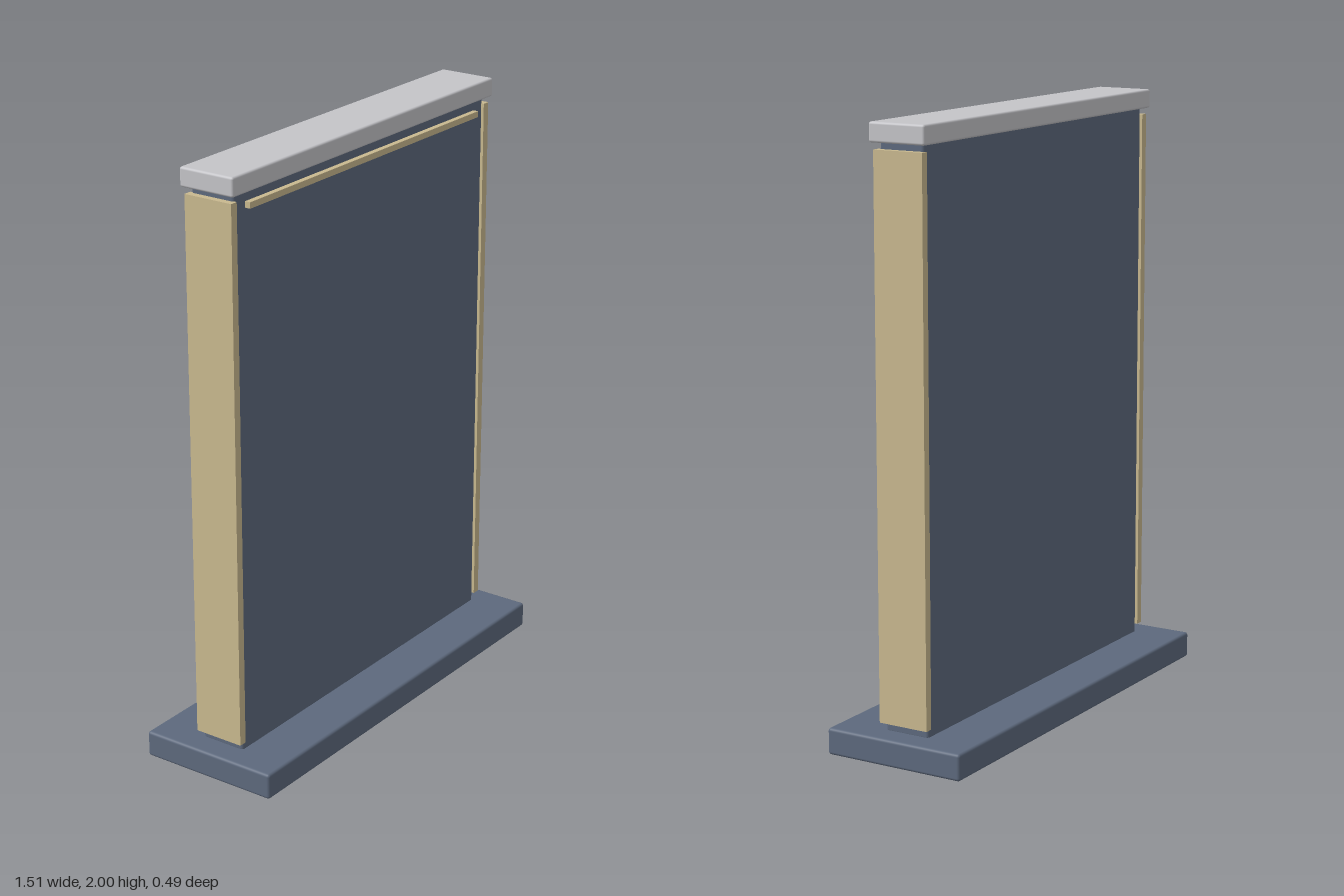
import * as THREE from 'three';
import { RoundedBoxGeometry } from 'three/addons/geometries/RoundedBoxGeometry.js';

export function createModel() {
  const group = new THREE.Group();
  const material = (name, color) => {
    const m = new THREE.MeshStandardMaterial({ color });
    m.name = name;
    return m;
  };
  const slate = material('slate blue', 0x5d697d);
  const silver = material('silver grey', 0xc4c4c8);
  const sand = material('sand gold', 0xc9b98f);

  // Box centred on x, resting at height y0; a radius rounds its edges
  const addBox = (name, mat, w, y0, y1, d, x = 0, z = 0, radius = 0) => {
    const h = y1 - y0;
    const geometry = radius
      ? new RoundedBoxGeometry(w, h, d, 3, radius)
      : new THREE.BoxGeometry(w, h, d);
    const mesh = new THREE.Mesh(geometry, mat);
    mesh.name = name;
    mesh.position.set(x, y0 + h / 2, z);
    group.add(mesh);
  };

  // Foot, upright panel and top cap
  addBox('base', slate, 1.508, 0, 0.088, 0.492, 0, 0, 0.01);
  addBox('panel', slate, 1.342, 0.08, 1.945, 0.158, 0, 0, 0.01);
  addBox('topCap', silver, 1.402, 1.937, 2, 0.2, 0, 0, 0.008);

  // Trim strips along both side edges
  for (const [name, side] of [['leftTrim', 1], ['rightTrim', -1]]) {
    addBox(name, sand, 0.027, 0.116, 1.916, 0.175, side * 0.68);
  }

  // Thin bar across the top of the front face
  addBox('frontBar', sand, 1.232, 1.884, 1.904, 0.024, 0, 0.086);

  return group;
}
